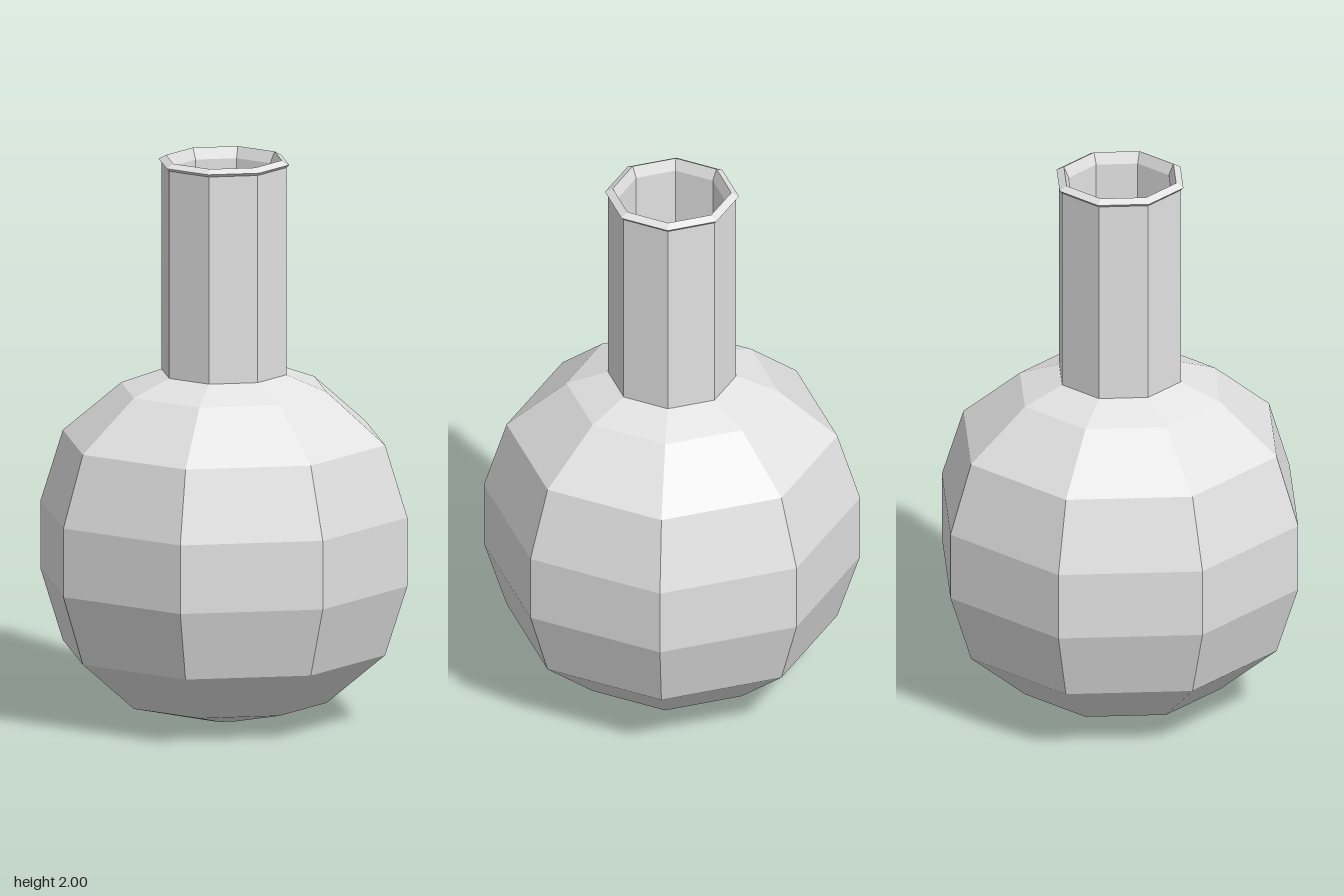
import * as THREE from 'three';

const SIDES = 8;

// Faceted solid of revolution from [radius, height] pairs
function turned(name, profile, material) {
  const points = profile.map(([r, y]) => new THREE.Vector2(r, y));
  const mesh = new THREE.Mesh(new THREE.LatheGeometry(points, SIDES), material);
  mesh.name = name;
  return mesh;
}

export function createModel() {
  const glass = new THREE.MeshStandardMaterial({ color: 0xe2e2e2, flatShading: true });
  glass.name = 'pale glass';
  const green = new THREE.MeshStandardMaterial({ color: 0x25d610, flatShading: true });
  green.name = 'green liquid';

  const flask = new THREE.Group();
  flask.name = 'flask';

  // Round bulb with a small flat foot
  flask.add(turned('bulb', [
    [0, 0], [0.08, 0], [0.37, 0.07], [0.58, 0.25], [0.66, 0.5],
    [0.66, 0.745], [0.58, 1], [0.37, 1.18], [0.225, 1.235],
  ], glass));

  // Straight neck
  flask.add(turned('neck', [[0.225, 1.235], [0.225, 1.975]], glass));

  // Bevelled lip
  flask.add(turned('lip', [
    [0.225, 1.975], [0.235, 1.985], [0.208, 2], [0.19, 1.96],
  ], glass));

  // Inner wall, running from the lip down to the inside of the bulb
  flask.add(turned('innerWall', [
    [0.19, 1.96], [0.19, 1.21], [0.355, 1.15], [0.555, 0.985], [0.63, 0.74],
    [0.63, 0.505], [0.555, 0.265], [0.355, 0.095], [0.07, 0.03], [0, 0.03],
  ], glass));

  // Liquid filling the lower part of the bulb
  flask.add(turned('liquid', [
    [0, 0.035], [0.07, 0.035], [0.35, 0.1], [0.55, 0.27],
    [0.625, 0.505], [0.625, 0.74], [0, 0.74],
  ], green));

  return flask;
}
